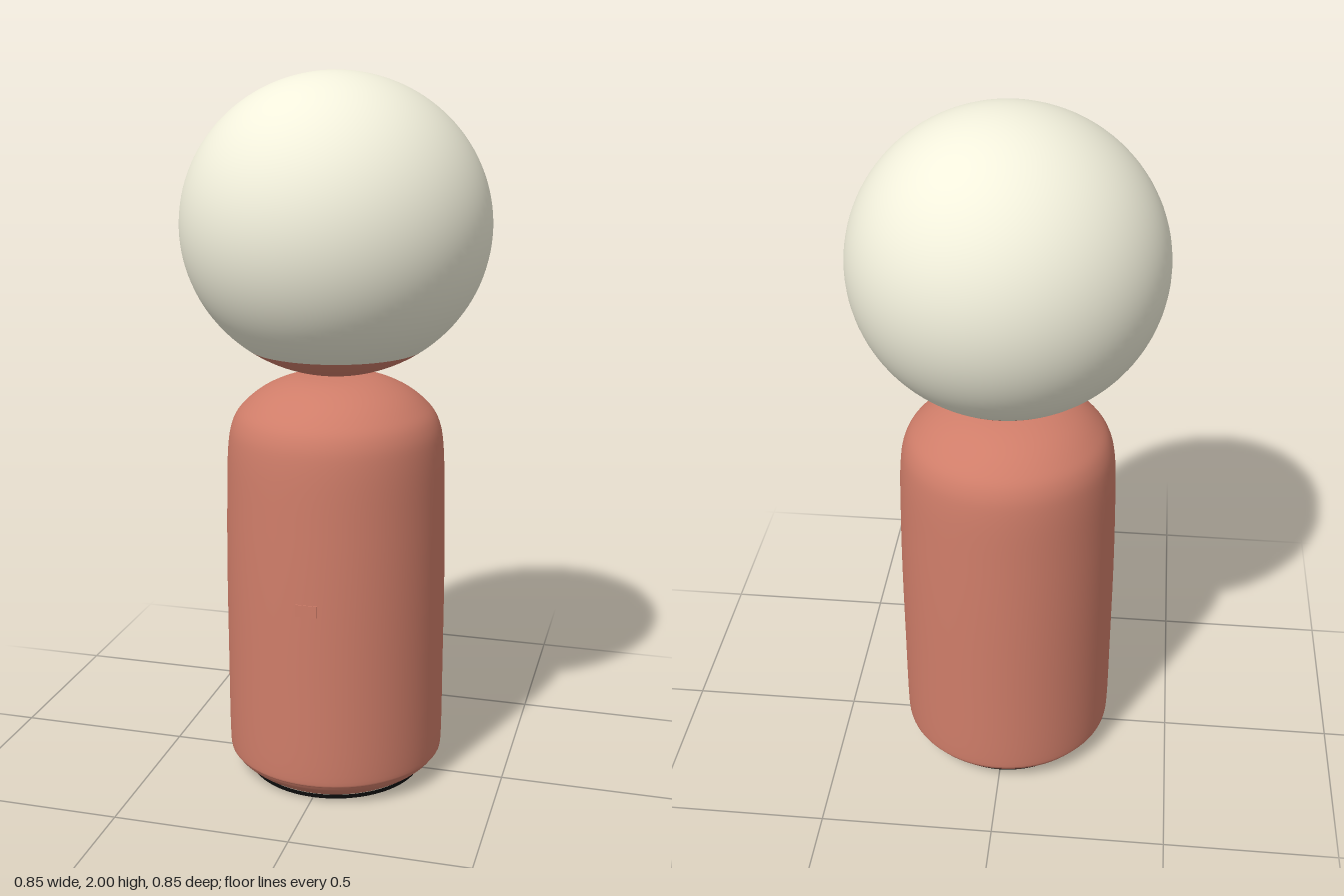
import * as THREE from 'three';

const RED = 0xcf7d69, CREAM = 0xf2f0dc, BLACK = 0x0c0c0c;

function add(group, name, geometry, color, side = THREE.FrontSide) {
  const mesh = new THREE.Mesh(geometry, new THREE.MeshStandardMaterial({ color, side }));
  mesh.name = name;
  group.add(mesh);
  return mesh;
}

const points = (list) => list.map(([r, y]) => new THREE.Vector2(r, y));

export function createModel() {
  const model = new THREE.Group();
  model.name = 'globeLamp';

  // Body: a rounded bottle profile, smoothed by a spline from base to shoulder
  const profile = new THREE.SplineCurve(points([
    [0.25, 0.012], [0.28, 0.033], [0.304, 0.06], [0.312, 0.1], [0.313, 0.35], [0.313, 0.6],
    [0.31, 0.8], [0.304, 0.97], [0.288, 1.05], [0.25, 1.1], [0.19, 1.142], [0.11, 1.17], [0, 1.18],
  ])).getPoints(72);
  profile[profile.length - 1].x = 0;
  add(model, 'body', new THREE.LatheGeometry(profile, 80), RED);

  // Base: dark foot ring with a coloured underside
  add(model, 'footRing', new THREE.CylinderGeometry(0.252, 0.252, 0.012, 80, 1, true).translate(0, 0.006, 0), BLACK, THREE.DoubleSide);
  add(model, 'footRim', new THREE.RingGeometry(0.245, 0.252, 80).rotateX(Math.PI / 2), BLACK);
  add(model, 'underside', new THREE.CircleGeometry(0.245, 80).rotateX(Math.PI / 2), RED);

  // Globe and its holder share one slightly flattened sphere, split at y = 1.255
  const radius = 0.425, height = 0.41, centre = 1.59;
  const split = Math.acos((1.255 - centre) / height);
  const cap = (start, length) => new THREE.SphereGeometry(1, 80, 48, 0, Math.PI * 2, start, length)
    .scale(radius, height, radius).translate(0, centre, 0);
  add(model, 'globe', cap(0, split), CREAM);
  add(model, 'globeHolder', cap(split, Math.PI - split), RED);

  // Small switch, nearly flush with the front of the body
  const button = add(model, 'switch', new THREE.BoxGeometry(0.06, 0.034, 0.02), RED);
  button.position.set(0, 0.588, 0.305);

  return model;
}
